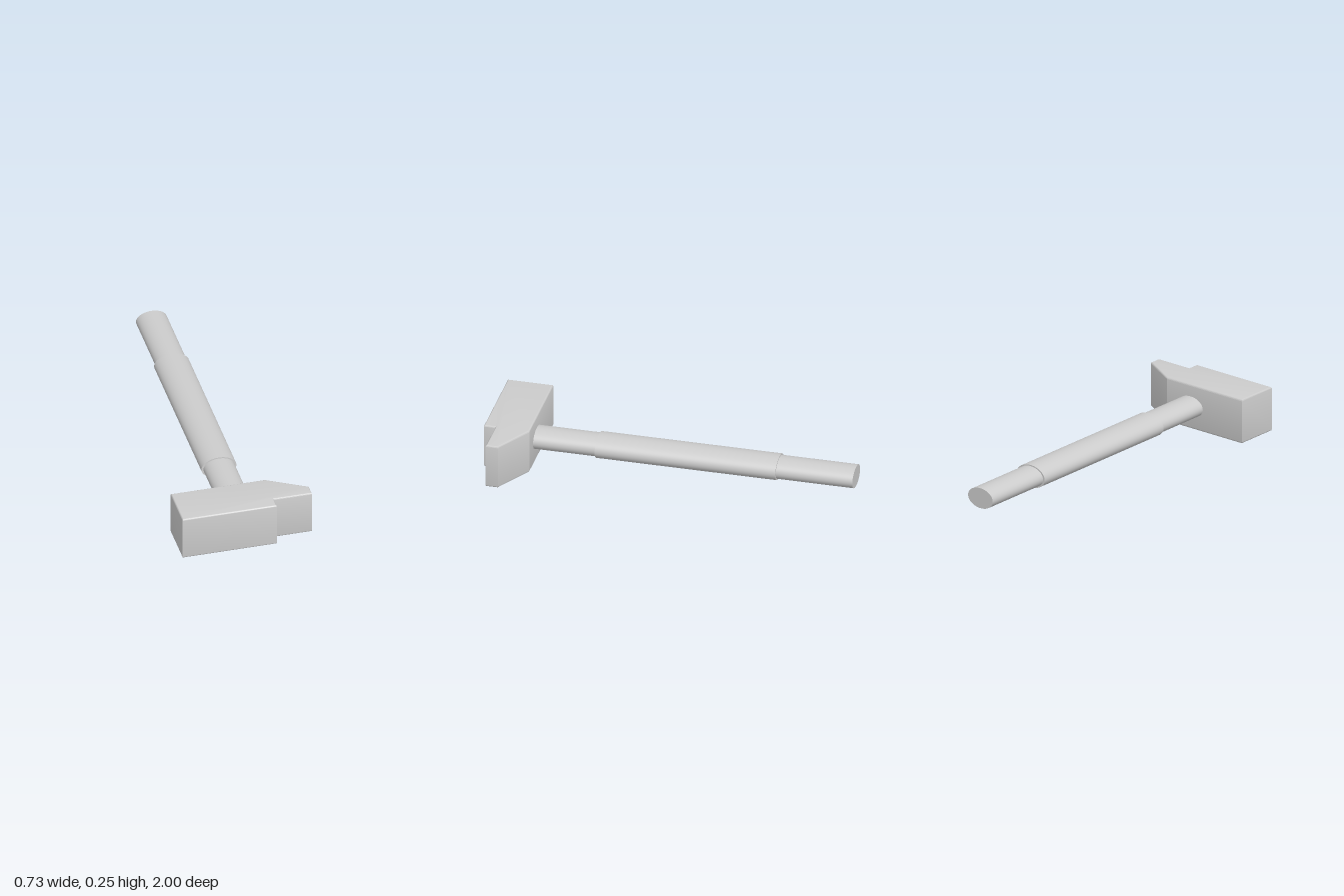
import * as THREE from 'three';
import { toCreasedNormals } from 'three/addons/utils/BufferGeometryUtils.js';

const grey = new THREE.MeshStandardMaterial({ color: 0xcccccc });

// Oval bar running along z
function ovalBar(name, halfWidth, halfHeight, zBack, zFront) {
  const geometry = new THREE.CylinderGeometry(1, 1, zFront - zBack, 64);
  geometry.rotateX(Math.PI / 2);
  geometry.scale(halfWidth, halfHeight, 1);
  geometry.translate(-0.01, 0.126, (zBack + zFront) / 2);
  const mesh = new THREE.Mesh(geometry, grey);
  mesh.name = name;
  return mesh;
}

// Head: plan outline (x, z) extruded upwards with softened top and bottom edges
function hammerHead() {
  const outline = [
    [-0.365, 1], [0.153, 1], [0.153, 0.937], [0.363, 0.937],
    [0.363, 0.87], [0.153, 0.75], [-0.365, 0.75],
  ];
  const shape = new THREE.Shape(outline.map(([x, z]) => new THREE.Vector2(x, -z)));
  const bevel = 0.009;
  const geometry = new THREE.ExtrudeGeometry(shape, {
    depth: 0.25 - 2 * bevel,
    bevelThickness: bevel,
    bevelSize: bevel,
    bevelOffset: -bevel,
    bevelSegments: 4,
  });
  geometry.rotateX(-Math.PI / 2);
  geometry.translate(0, bevel, 0);
  const mesh = new THREE.Mesh(toCreasedNormals(geometry, 0.45), grey);
  mesh.name = 'head';
  return mesh;
}

export function createModel() {
  const group = new THREE.Group();
  group.name = 'hammer';
  group.add(
    hammerHead(),
    ovalBar('handle', 0.085, 0.057, -1, 0.78),
    ovalBar('grip', 0.096, 0.063, -0.58, 0.41),
  );
  return group;
}
